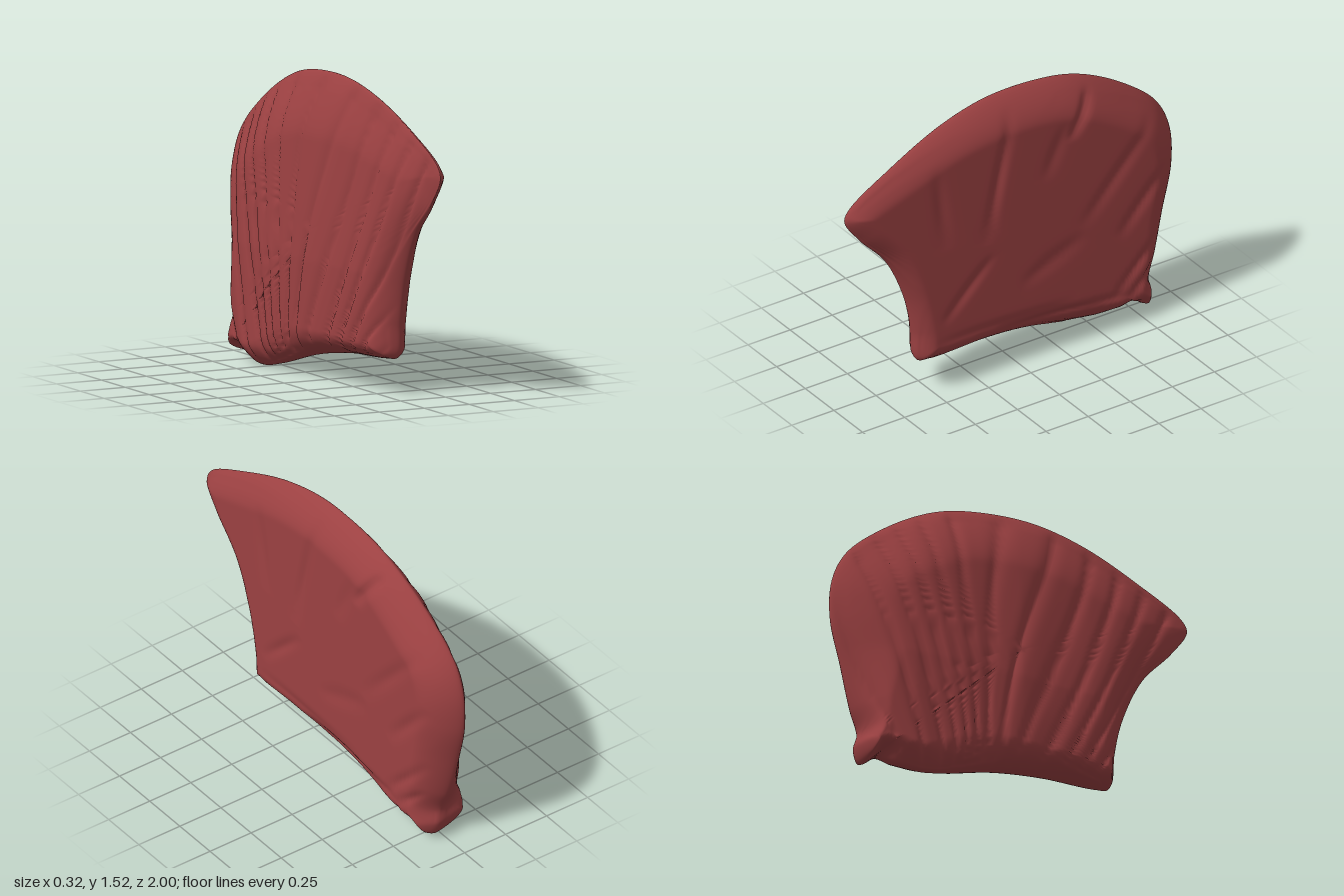
import * as THREE from 'three';
import { mergeVertices } from 'three/addons/utils/BufferGeometryUtils.js';

// Rim of the fan-shaped muscle: [z, y, x of rim, edge rounding]
const RIM = [
  [1.0, 1.13, 0.09, 0.1], [0.97, 1.19, 0.09, 0.12], [0.72, 1.33, 0.075, 0.16], [0.4, 1.46, 0.05, 0.18],
  [0.1, 1.52, 0.035, 0.2], [-0.25, 1.505, 0.03, 0.2], [-0.45, 1.45, 0.025, 0.2], [-0.7, 1.31, 0.01, 0.2],
  [-0.91, 1.13, 0.0, 0.19], [-0.985, 0.97, 0.0, 0.19], [-0.995, 0.77, 0.0, 0.19], [-0.94, 0.53, 0.0, 0.17],
  [-0.88, 0.3, 0.01, 0.14], [-0.835, 0.18, 0.02, 0.11], [-0.845, 0.1, 0.04, 0.09], [-0.81, 0.025, 0.04, 0.09],
  [-0.74, 0.06, 0.0, 0.13], [-0.66, 0.015, -0.06, 0.18], [-0.54, 0.0, -0.07, 0.2], [-0.38, 0.03, -0.05, 0.19],
  [-0.1, 0.11, 0.0, 0.14], [0.2, 0.155, 0.04, 0.1], [0.5, 0.17, 0.075, 0.08], [0.565, 0.185, 0.08, 0.08],
  [0.59, 0.35, 0.08, 0.08], [0.64, 0.57, 0.08, 0.08], [0.75, 0.81, 0.08, 0.09], [0.91, 0.99, 0.085, 0.09],
];

// Depth of the inner face along z
const INNER = [[-1, -0.135], [-0.6, -0.165], [-0.3, -0.15], [0, -0.125], [0.4, -0.075], [0.6, -0.04], [0.8, 0.005], [1, 0.05]];

// Creases on the outer face: [z1, y1, z2, y2, depth, width]
const CREASES = [
  [0.04, 1.48, 0.2, 0.75, 0.016, 0.03], [0.5, 1.3, 0.43, 0.8, 0.008, 0.035],
  [-0.3, 1.18, -0.46, 1.43, 0.022, 0.028], [-0.15, 1.0, -0.28, 1.3, 0.007, 0.04],
  [-0.36, 0.65, -0.82, 1.16, 0.011, 0.035], [-0.58, 0.52, -0.88, 0.86, 0.013, 0.03],
  [0.15, 0.69, 0.46, 0.38, 0.011, 0.03], [0.0, 0.45, -0.4, 0.62, 0.008, 0.04],
  [0.5, 0.28, -0.35, 0.25, 0.009, 0.03], [0.15, 0.23, -0.66, 0.18, 0.02, 0.025],
  [-0.55, 0.18, -0.86, 0.5, 0.014, 0.022], [-0.64, 0.15, -0.83, 0.32, 0.014, 0.02],
];

const CENTRE = { z: 0, y: 0.75 };
const AROUND = 320, RINGS = 48;
const { lerp, clamp } = THREE.MathUtils;

// The inner face is deepest low down and leans in towards the top
function innerDepth(z, y) {
  let k = 0;
  while (k < INNER.length - 2 && z > INNER[k + 1][0]) k++;
  const [z0, x0] = INNER[k], [z1, x1] = INNER[k + 1];
  return lerp(x0, x1, clamp((z - z0) / (z1 - z0), 0, 1)) + 0.06 * Math.max(0, y - 0.6);
}

// Creases fade out at both ends
function creaseDepth(z, y) {
  let sum = 0;
  for (const [z1, y1, z2, y2, depth, width] of CREASES) {
    const dz = z2 - z1, dy = y2 - y1;
    const t = clamp(((z - z1) * dz + (y - y1) * dy) / (dz * dz + dy * dy), 0, 1);
    const d = Math.hypot(z - z1 - t * dz, y - y1 - t * dy);
    sum += depth * Math.sin(Math.PI * t) * Math.exp(-((d / width) ** 2));
  }
  return sum;
}

// Fibres fan upwards from a point below the muscle
function fibre(z, y) {
  const a = Math.atan2(z + 0.25, y + 0.7);
  const wave = Math.sin(a * 34 + 1.5 * Math.sin(a * 9 + y * 1.5));
  return 0.018 * (1 - Math.abs(wave)) ** 2 + 0.005 * Math.sin(a * 21 + y);
}

// Soft edge from the rim (0) to the full face (1)
function rounded(d, r) {
  const u = 1 - Math.min(d / r, 1);
  return 0.35 * Math.sqrt(1 - u * u) + 0.65 * (1 - u ** 1.6);
}

function buildMuscle() {
  const rimCurve = new THREE.CatmullRomCurve3(RIM.map(([z, y, x]) => new THREE.Vector3(x, y, z)), true);
  const roundCurve = new THREE.CatmullRomCurve3(RIM.map(([z, y, , r]) => new THREE.Vector3(r, y, z)), true);
  const rim = [], round = [];
  for (let j = 0; j < AROUND; j++) {
    rim.push(rimCurve.getPoint(j / AROUND));
    round.push(roundCurve.getPoint(j / AROUND).x);
  }

  const outer = [], inner = [];
  for (let i = 0; i <= RINGS; i++) {
    const s = 1 - (1 - i / RINGS) ** 1.7;
    for (let j = 0; j < AROUND; j++) {
      const p = rim[j];
      const z = lerp(CENTRE.z, p.z, s), y = lerp(CENTRE.y, p.y, s);
      let d = Infinity;
      if (i === RINGS) d = 0;
      else for (const q of rim) d = Math.min(d, Math.hypot(q.z - z, q.y - y));
      const fade = Math.min(d / 0.08, 1);
      // Blend the rim depth out towards the centre so the faces meet smoothly there
      const rimX = lerp(0.03, p.x, s);
      const r = lerp(0.17, round[j], s);
      // The inner edge is broad above and tight along the bottom
      const innerR = r * lerp(0.6, 1.7, clamp((y - 0.1) / 0.5, 0, 1));
      const face = Math.min(innerDepth(z, y), rimX - 0.03);
      const xo = lerp(rimX, 0.156, rounded(d, r)) - fade * creaseDepth(z, y);
      const xi = lerp(rimX, face, rounded(d, innerR)) + fade * fibre(z, y);
      outer.push(xo, y, z);
      inner.push(xi, y, z);
    }
  }

  const index = [], offset = outer.length / 3;
  for (let i = 0; i < RINGS; i++) {
    for (let j = 0; j < AROUND; j++) {
      const n = (j + 1) % AROUND;
      const a = i * AROUND + j, b = i * AROUND + n, c = a + AROUND, e = b + AROUND;
      index.push(a, e, c);
      index.push(offset + a, offset + c, offset + e);
      if (i > 0) {
        index.push(a, b, e);
        index.push(offset + a, offset + e, offset + b);
      }
    }
  }
  const geometry = new THREE.BufferGeometry();
  geometry.setAttribute('position', new THREE.Float32BufferAttribute([...outer, ...inner], 3));
  geometry.setIndex(index);
  const welded = mergeVertices(geometry, 1e-5);
  welded.computeVertexNormals();
  return welded;
}

export function createModel() {
  const model = new THREE.Group();
  model.name = 'fanMuscle';
  const muscle = new THREE.Mesh(buildMuscle(), new THREE.MeshStandardMaterial({ color: 0x9c4142 }));
  muscle.name = 'muscleBody';
  model.add(muscle);
  return model;
}
